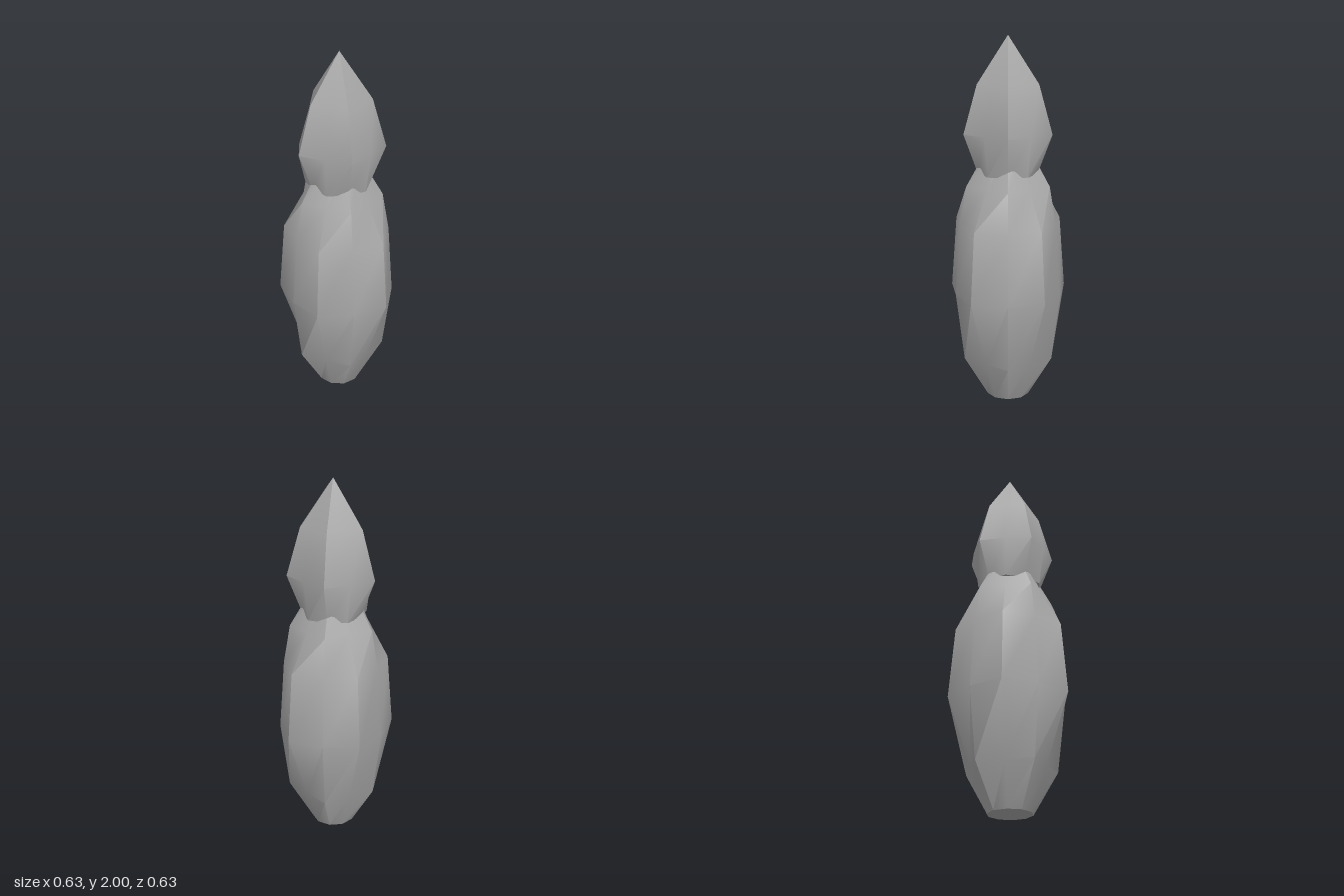
import * as THREE from 'three';
import { toCreasedNormals } from 'three/addons/utils/BufferGeometryUtils.js';

const SIDES = 10;
const CHORD = Math.cos(Math.PI / 5); // flat side of a pentagon relative to its corner

// Skin ten-sided rings [y, ridge radius, valley radius]; ridges sit at 0, 72, 144... degrees
function ringSkin(rings, crease) {
  const pos = [], index = [];
  for (const [y, ridge, valley] of rings) {
    for (let i = 0; i < SIDES; i++) {
      const a = (i / SIDES) * Math.PI * 2;
      const r = i % 2 ? valley : ridge;
      pos.push(r * Math.cos(a), y, r * Math.sin(a));
    }
  }
  for (let k = 0; k < rings.length - 1; k++) {
    for (let i = 0; i < SIDES; i++) {
      const j = (i + 1) % SIDES;
      const a = k * SIDES + i, b = k * SIDES + j;
      const c = a + SIDES, d = b + SIDES;
      // Skip the empty triangles where a ring closes to a point
      if (rings[k][1] > 0) index.push(a, c, b);
      if (rings[k + 1][1] > 0) index.push(b, c, d);
    }
  }
  const geo = new THREE.BufferGeometry();
  geo.setAttribute('position', new THREE.Float32BufferAttribute(pos, 3));
  geo.setIndex(index);
  return toCreasedNormals(geo, crease);
}

export function createModel() {
  const group = new THREE.Group();
  group.name = 'bud';
  const grey = new THREE.MeshStandardMaterial({ color: 0xaaaaaa });
  grey.name = 'grey';

  const add = (name, rings) => {
    const mesh = new THREE.Mesh(ringSkin(rings, THREE.MathUtils.degToRad(45)), grey);
    mesh.name = name;
    mesh.position.x = 0.016;
    group.add(mesh);
  };

  // Long lower body, its top hidden in the tip
  add('body', [
    [0, 0, 0],
    [0, 0.121, 0.121],
    [0.23, 0.254, 0.254 * CHORD],
    [0.61, 0.3, 0.333],
    [1.0, 0.271, 0.301],
    [1.21, 0.234, 0.234 * CHORD],
    [1.4, 0.121, 0.121],
    [1.4, 0, 0],
  ]);

  // Pointed five-sided tip
  add('tip', [
    [1.275, 0, 0],
    [1.275, 0.165, 0.18],
    [1.49, 0.246, 0.209],
    [1.75, 0.171, 0.171 * CHORD],
    [2.0, 0, 0],
  ]);

  return group;
}
